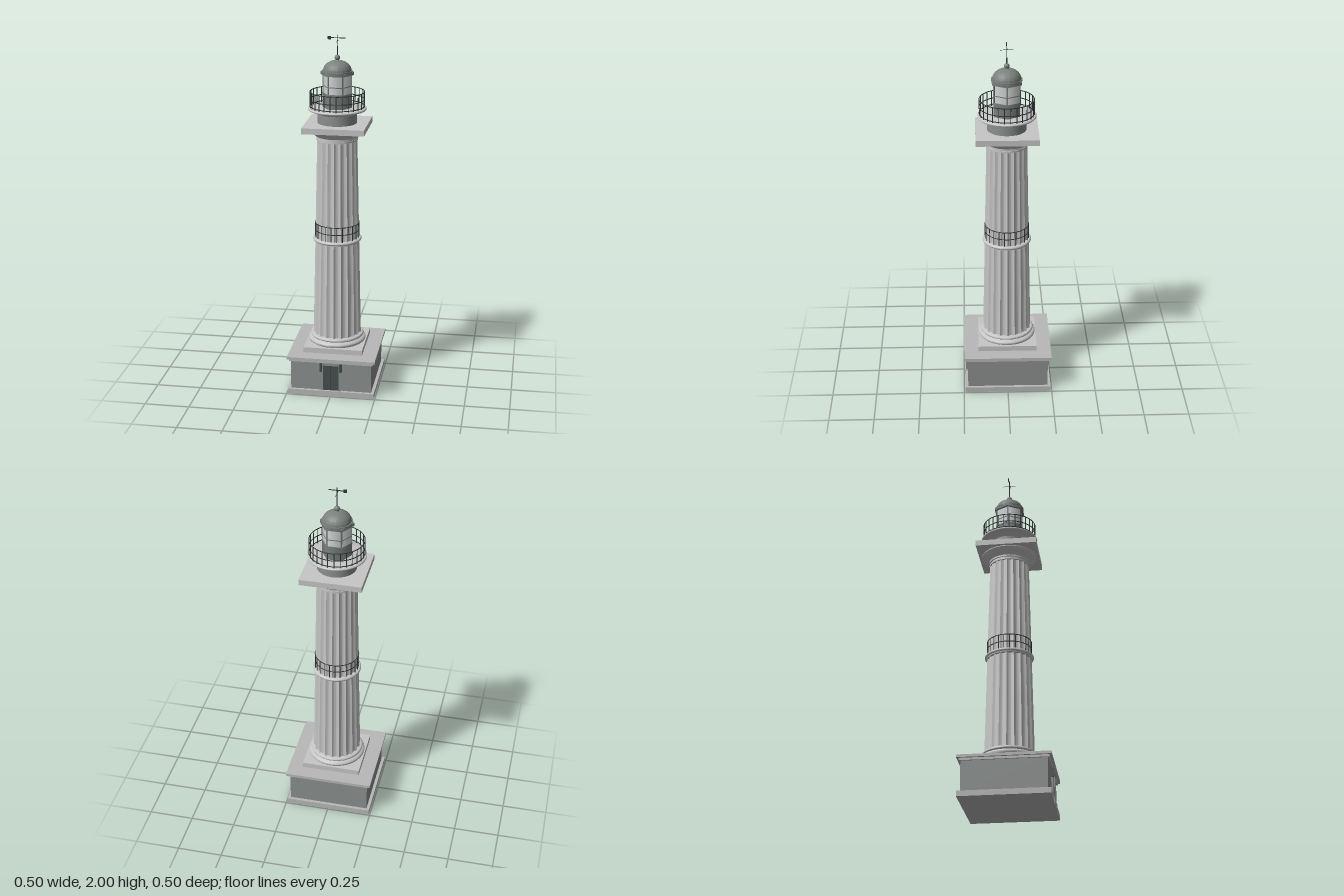
import * as THREE from 'three';
import { toCreasedNormals } from 'three/addons/utils/BufferGeometryUtils.js';

const paint = (name, color) => {
  const m = new THREE.MeshStandardMaterial({ color });
  m.name = name;
  return m;
};

export function createModel() {
  const stone = paint('pale stone', 0xc6c6c6);
  const ledge = paint('grey stone', 0xb8b8b8);
  const wall = paint('wall grey', 0x8b908e);
  const dark = paint('dark door', 0x465050);
  const metal = paint('iron', 0x303636);
  const roof = paint('roof grey', 0x7b827e);
  const glass = paint('glass', 0xd6dada);

  const model = new THREE.Group();
  model.name = 'lighthouse';

  const add = (name, geo, mat, x = 0, y = 0, z = 0, parent = model) => {
    const mesh = new THREE.Mesh(geo, mat);
    mesh.name = name;
    mesh.position.set(x, y, z);
    parent.add(mesh);
    return mesh;
  };
  // Box given by its bottom and top heights
  const block = (name, w, d, y0, y1, mat, x = 0, z = 0, parent = model) =>
    add(name, new THREE.BoxGeometry(w, y1 - y0, d), mat, x, (y0 + y1) / 2, z, parent);
  // Turned part from [radius, height] pairs
  const turned = (name, pts, mat, sides = 64) => add(name, toCreasedNormals(
    new THREE.LatheGeometry(pts.map(([r, y]) => new THREE.Vector2(r, y)), sides), 0.6), mat);
  // Rounded moulding as profile points
  const bulge = (r, y0, y1) => Array.from({ length: 9 }, (_, i) => {
    const a = -Math.PI / 2 + Math.PI * i / 8, h = (y1 - y0) / 2;
    return [r - h + h * Math.cos(a), (y0 + y1) / 2 + h * Math.sin(a)];
  });
  // Six-sided prism with corners on the x axis
  const hexPrism = (name, r, y0, y1, mat, parent = model) => add(name,
    new THREE.CylinderGeometry(r, r, y1 - y0, 6).rotateY(Math.PI / 6).toNonIndexed(),
    mat, 0, (y0 + y1) / 2, 0, parent);

  // Square base
  block('basePlinth', 0.488, 0.488, 0, 0.03, ledge);
  block('baseWall', 0.454, 0.454, 0.03, 0.198, wall);
  block('corniceLower', 0.472, 0.472, 0.196, 0.209, ledge);
  block('corniceUpper', 0.495, 0.495, 0.209, 0.224, ledge);
  block('columnSlab', 0.332, 0.332, 0.224, 0.254, stone);

  // Doorway with jambs and brackets
  const doorway = new THREE.Group();
  doorway.name = 'doorway';
  model.add(doorway);
  block('door', 0.088, 0.008, 0.03, 0.196, dark, 0, 0.229, doorway);
  block('doorSeam', 0.004, 0.003, 0.03, 0.18, metal, 0, 0.234, doorway);
  block('doorLintel', 0.124, 0.012, 0.182, 0.197, wall, 0, 0.232, doorway);
  block('doorStep', 0.124, 0.022, 0.0, 0.032, ledge, 0, 0.235, doorway);
  for (const s of [-1, 1]) {
    block('doorJamb', 0.014, 0.014, 0.03, 0.185, wall, s * 0.051, 0.232, doorway);
    block('doorBracket', 0.013, 0.02, 0.145, 0.196, dark, s * 0.056, 0.232, doorway);
  }

  // Rounded column foot
  turned('columnFoot', [[0, 0.254], ...bulge(0.162, 0.254, 0.28), [0.142, 0.283],
    ...bulge(0.15, 0.284, 0.302), [0, 0.302]], stone);

  // Tapered shaft with twenty scooped flutes meeting at sharp edges
  const flutes = 20, steps = 6, y0 = 0.3, y1 = 1.432;
  const shaftGeo = new THREE.CylinderGeometry(0.111, 0.136, y1 - y0, flutes * steps, 4, true);
  const pos = shaftGeo.attributes.position;
  for (let i = 0; i < pos.count; i++) {
    const x = pos.getX(i), z = pos.getZ(i);
    const turn = Math.atan2(x, z) / (2 * Math.PI) * flutes;
    const t = turn - Math.floor(turn + 1e-5);
    const k = 1 - 0.085 * 4 * t * (1 - t);
    pos.setX(i, x * k);
    pos.setZ(i, z * k);
  }
  add('flutedShaft', toCreasedNormals(shaftGeo, 0.65), stone, 0, (y0 + y1) / 2, 0);

  // Ring of posts and rails
  const railing = (name, r, bottom, top, rails, posts, thick) => {
    const group = new THREE.Group();
    group.name = name;
    model.add(group);
    const post = new THREE.CylinderGeometry(thick, thick, top - bottom, 6);
    for (let i = 0; i < posts; i++) {
      const a = (i + 0.5) / posts * Math.PI * 2;
      add('post', post, metal, r * Math.sin(a), (bottom + top) / 2, r * Math.cos(a), group);
    }
    for (const y of rails)
      add('rail', new THREE.TorusGeometry(r, thick, 6, 64).rotateX(Math.PI / 2), metal, 0, y, 0, group);
  };

  // Middle balcony
  turned('middleLedge', [[0.11, 0.845], [0.127, 0.848], ...bulge(0.136, 0.853, 0.87), [0.1, 0.87]], stone);
  railing('middleRailing', 0.122, 0.87, 0.955, [0.912, 0.954], 24, 0.0023);

  // Capital
  turned('capital', [[0.09, 1.426], [0.113, 1.426], [0.113, 1.437], [0.11, 1.437], [0.11, 1.442],
    [0.117, 1.442], [0.117, 1.451], [0.131, 1.462], [0.146, 1.475], [0.155, 1.486], [0.155, 1.492], [0, 1.492]], stone);
  block('capitalSlab', 0.34, 0.34, 1.49, 1.522, stone);

  // Drum and gallery
  turned('drum', [[0.107, 1.52], [0.107, 1.59]], wall);
  turned('galleryFloor', [[0.105, 1.574], [0.113, 1.578], [0.125, 1.588], [0.148, 1.592],
    ...bulge(0.16, 1.593, 1.606), [0, 1.606]], stone);
  railing('galleryRailing', 0.148, 1.604, 1.694, [1.614, 1.65, 1.693], 28, 0.0025);

  // Six-sided lantern room
  const lantern = new THREE.Group();
  lantern.name = 'lanternRoom';
  model.add(lantern);
  hexPrism('lanternWall', 0.081, 1.604, 1.682, roof, lantern);
  hexPrism('lanternGlass', 0.078, 1.682, 1.79, glass, lantern);
  hexPrism('lanternSill', 0.084, 1.678, 1.686, roof, lantern);
  hexPrism('lanternGlazingBar', 0.08, 1.722, 1.727, roof, lantern);
  hexPrism('lanternEave', 0.092, 1.786, 1.802, roof, lantern);
  for (let i = 0; i < 6; i++) {
    const a = i * Math.PI / 3;
    block('lanternCornerPost', 0.007, 0.007, 1.68, 1.79, roof,
      0.077 * Math.cos(a), 0.077 * Math.sin(a), lantern).rotation.y = -a;
  }

  // Dome with ball finial
  const domeCurve = Array.from({ length: 13 }, (_, i) => {
    const a = i / 12 * Math.PI / 2;
    return [Math.max(0, 0.077 * Math.cos(a)), 1.808 + 0.056 * Math.sin(a)];
  });
  turned('dome', [[0, 1.8], [0.083, 1.8], [0.083, 1.808], ...domeCurve], roof);
  turned('finialNeck', [[0.016, 1.858], [0.008, 1.868], [0.008, 1.875]], roof, 24);
  add('finialBall', new THREE.SphereGeometry(0.015, 24, 16), roof, 0, 1.878, 0);

  // Spire, cross arms and wind vane
  add('spire', new THREE.CylinderGeometry(0.0018, 0.003, 0.11, 8), metal, 0, 1.945, 0);
  const vane = new THREE.Group();
  vane.name = 'windVane';
  model.add(vane);
  block('vaneArm', 0.096, 0.003, 1.982, 1.986, metal, -0.003, 0, vane);
  block('vaneTail', 0.018, 0.003, 1.975, 1.993, metal, -0.043, 0, vane);
  block('crossArm', 0.002, 0.07, 1.965, 1.967, metal, 0, 0, vane);
  return model;
}
